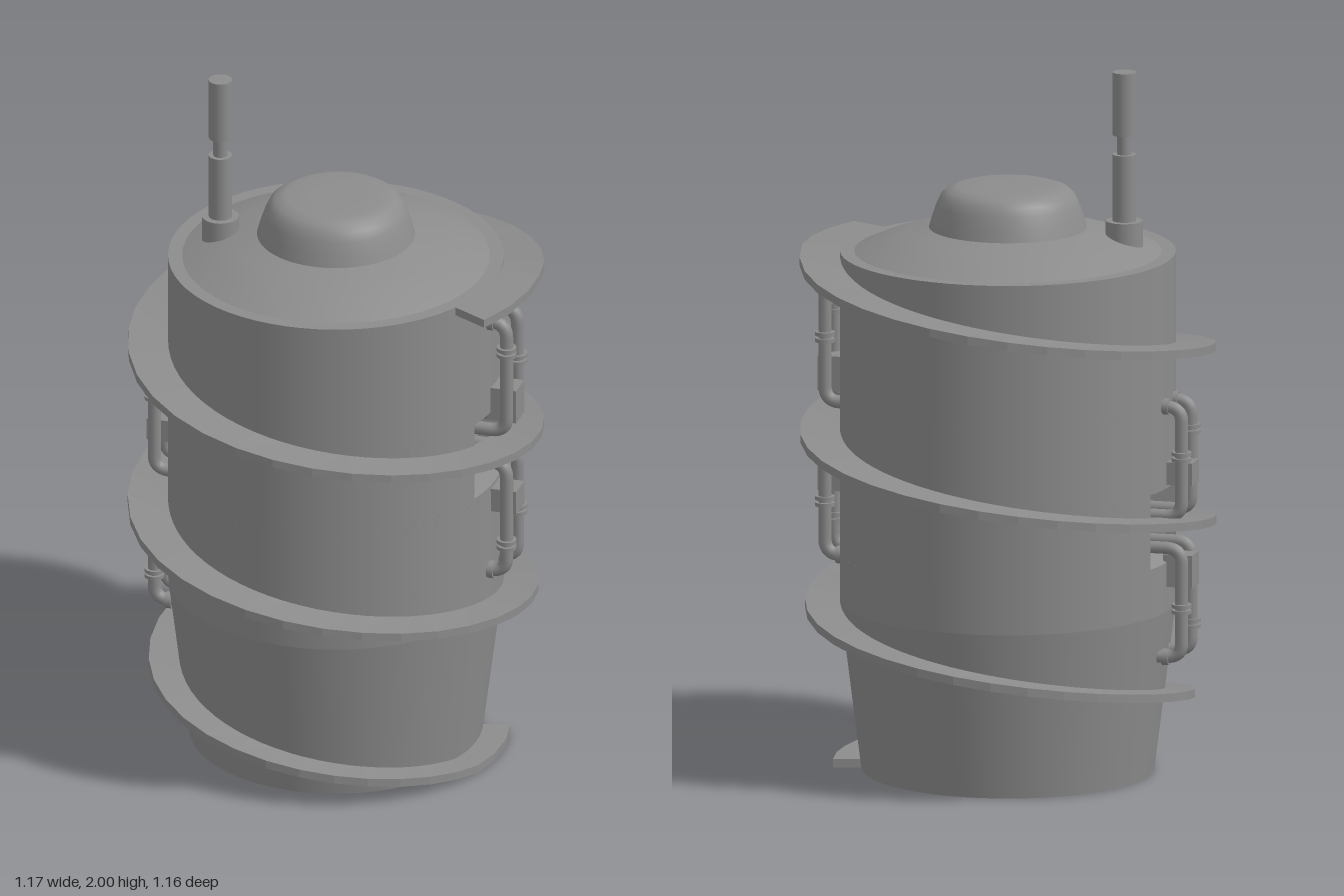
import * as THREE from 'three';

const V2 = (x, y) => new THREE.Vector2(x, y);
const V3 = (x, y, z) => new THREE.Vector3(x, y, z);
const TAU = Math.PI * 2;
const R = 0.47;          // drum radius
const GAP = 0.291;       // half angle of the wall openings
const GREY = new THREE.MeshStandardMaterial({ color: 0x8c8c8c, side: THREE.DoubleSide });
GREY.name = 'grey metal';

function add(parent, name, geometry, x = 0, y = 0, z = 0) {
  const mesh = new THREE.Mesh(geometry, GREY);
  mesh.name = name;
  mesh.position.set(x, y, z);
  parent.add(mesh);
  return mesh;
}

const cylinder = (r, h, n = 20) => new THREE.CylinderGeometry(r, r, h, n);
const lathe = (pts) => new THREE.LatheGeometry(pts.map(([x, y]) => V2(x, y)), 64);

// Band of drum wall, optionally with an opening centred on an angle
function wall(parent, y0, y1, openAt) {
  const open = openAt !== undefined;
  const geo = new THREE.CylinderGeometry(R, R, y1 - y0, 64, 1, true,
    open ? openAt + GAP : 0, open ? TAU - 2 * GAP : TAU);
  add(parent, 'drumWall', geo, 0, (y0 + y1) / 2, 0);
}

// Spiral flight: rectangular section swept round the drum
function flightGeometry() {
  const start = -15 * Math.PI / 180, end = 3 * TAU + 27 * Math.PI / 180;
  const n = 102, half = 0.012;
  const section = (i) => {
    const a = start + (end - start) * i / n;
    const y = THREE.MathUtils.clamp(-0.01 + 0.495 * a / TAU, half, 1.48 - half);
    const inner = Math.min(0.40 + 0.13 * y, 0.462);
    const outer = Math.min(0.487 + 0.175 * y, 0.583);
    return [[inner, y + half], [outer, y + half], [outer, y - half], [inner, y - half]]
      .map(([r, h]) => V3(r * Math.cos(a), h, r * Math.sin(a)));
  };
  const pos = [];
  const quad = (a, b, c, d) => [a, b, c, a, c, d].forEach((p) => pos.push(p.x, p.y, p.z));
  for (let i = 0; i < n; i++) {
    const s = section(i), t = section(i + 1);
    for (let k = 0; k < 4; k++) {
      const m = (k + 1) % 4;
      quad(s[k], t[k], t[m], s[m]);
    }
  }
  quad(...section(0));
  quad(...section(n).reverse());
  return fromPositions(pos);
}

function fromPositions(pos) {
  const geo = new THREE.BufferGeometry();
  geo.setAttribute('position', new THREE.Float32BufferAttribute(pos, 3));
  geo.computeVertexNormals();
  return geo;
}

// Tapered pocket behind a wall opening
function recessGeometry(y0, y1) {
  const outer = [], inner = [], pos = [], n = 8;
  const corner = (t, top) => {
    const a = GAP * t;
    outer.push(V3(R * Math.cos(a), top ? y1 : y0, R * Math.sin(a)));
    inner.push(V3(0.38, top ? y1 - 0.05 : y0 + 0.02, 0.118 * t));
  };
  for (let i = 0; i <= n; i++) corner(-1 + 2 * i / n, true);
  for (let i = 0; i <= n; i++) corner(1 - 2 * i / n, false);
  const tri = (...p) => p.forEach((v) => pos.push(v.x, v.y, v.z));
  const mid = V3(0.38, (y0 + y1) / 2, 0);
  outer.forEach((p, i) => {
    const j = (i + 1) % outer.length;
    tri(p, inner[i], outer[j]);
    tri(outer[j], inner[i], inner[j]);
    tri(inner[i], mid, inner[j]);
  });
  return fromPositions(pos);
}

// Pipe with rounded elbows
function pipeGeometry(points, radius, bend) {
  const path = new THREE.CurvePath();
  let from = points[0];
  for (let i = 1; i < points.length - 1; i++) {
    const p = points[i];
    const a = p.clone().add(points[i - 1].clone().sub(p).setLength(bend));
    const b = p.clone().add(points[i + 1].clone().sub(p).setLength(bend));
    path.add(new THREE.LineCurve3(from, a));
    path.add(new THREE.QuadraticBezierCurve3(a, p, b));
    from = b;
  }
  path.add(new THREE.LineCurve3(from, points[points.length - 1]));
  return new THREE.TubeGeometry(path, 48, radius, 12);
}

// Pocket with two pairs of pipes, collars and junction boxes
function pipeUnit(name) {
  const unit = new THREE.Group();
  unit.name = name;
  add(unit, 'recess', recessGeometry(-0.13, 0.10));
  for (const s of [1, -1]) {
    for (const z of [0.05, -0.05]) {
      const pts = [V3(0.44, 0.387 * s, z), V3(0.517, 0.387 * s, z),
        V3(0.517, 0.05 * s, z), V3(0.39, 0.05 * s, z)];
      add(unit, 'pipe', pipeGeometry(pts, 0.019, 0.045));
      const y = z > 0 ? 0.30 : 0.235;
      for (const d of [-0.009, 0.009]) {
        add(unit, 'collar', cylinder(0.028, 0.011, 16), 0.517, s * y + d, z);
      }
      const flange = add(unit, 'flange', cylinder(0.025, 0.02, 16), 0.472, 0.387 * s, z);
      flange.rotation.z = Math.PI / 2;
    }
  }
  add(unit, 'junctionBox', new THREE.BoxGeometry(0.085, 0.10, 0.075), 0.5, 0.125, 0.005);
  add(unit, 'junctionBox', new THREE.BoxGeometry(0.085, 0.07, 0.075), 0.5, -0.175, 0.005);
  return unit;
}

export function createModel() {
  const model = new THREE.Group();
  model.name = 'spiralDrum';

  // Drum: tapered foot, wall bands with openings, flat rim
  const base = add(model, 'base', new THREE.CircleGeometry(0.41, 64));
  base.rotation.x = Math.PI / 2;
  add(model, 'taperedFoot', lathe([[0.41, 0], [0.438, 0.22], [0.464, 0.43], [R, 0.48]]));
  const rightLow = 0.85, rightHigh = 1.08;
  const leftLow = 0.7125 - 0.10 * 0.926, leftHigh = 0.7125 + 0.13 * 0.926;
  wall(model, 0.48, leftLow);
  wall(model, leftLow, leftHigh, Math.PI * 1.5);
  wall(model, leftHigh, rightLow);
  wall(model, rightLow, rightHigh, Math.PI * 0.5);
  wall(model, rightHigh, 1.48);
  add(model, 'rim', lathe([[R, 1.48], [0.425, 1.48]]));

  // Roof and rounded cap
  add(model, 'roof', lathe([[0.43, 1.48], [0.36, 1.51], [0.29, 1.533], [0.20, 1.553]]));
  add(model, 'cap', lathe([[0.222, 1.545], [0.212, 1.58], [0.20, 1.615], [0.188, 1.64],
    [0.17, 1.657], [0.14, 1.667], [0.07, 1.668], [0, 1.668]]));

  // Spiral flight
  add(model, 'spiralFlight', flightGeometry());

  // Stepped mast: radius, bottom, top
  const mast = new THREE.Group();
  mast.name = 'mast';
  mast.position.set(-0.325, 0, 0.045);
  for (const [r, y0, y1] of [[0.052, 1.48, 1.575], [0.033, 1.575, 1.765],
    [0.02, 1.765, 1.82], [0.033, 1.82, 2]]) {
    add(mast, 'mastSection', cylinder(r, y1 - y0, 24), 0, (y0 + y1) / 2, 0);
  }
  model.add(mast);

  // Pipe units on both sides, the second turned upside down
  const leftUnit = pipeUnit('leftPipeUnit');
  leftUnit.position.y = 0.98;
  const rightUnit = pipeUnit('rightPipeUnit');
  rightUnit.position.y = 0.7125;
  rightUnit.rotation.z = Math.PI;
  rightUnit.scale.y = 0.926;
  model.add(leftUnit, rightUnit);

  return model;
}
